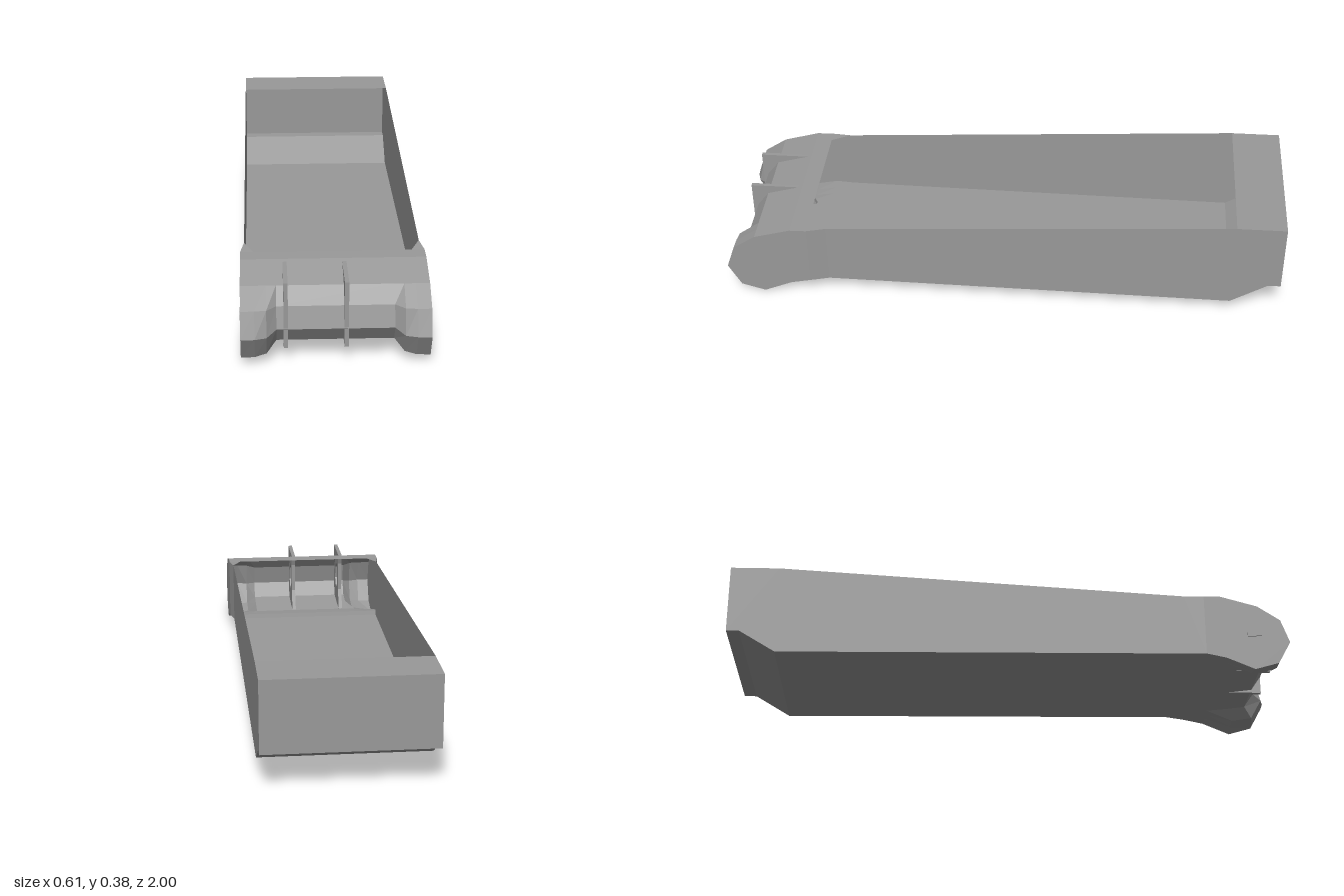
import * as THREE from 'three';

const material = new THREE.MeshStandardMaterial({ color: 0x999999, flatShading: true, side: THREE.DoubleSide });

function addMesh(group, name, geometry) {
  const mesh = new THREE.Mesh(geometry, material);
  mesh.name = name;
  group.add(mesh);
  return mesh;
}

// Skin stretched between neighbouring rows of [x, y, z] points
function loft(rows) {
  const pos = [];
  for (let i = 0; i < rows.length - 1; i++) {
    for (let j = 0; j < rows[i].length - 1; j++) {
      const a = rows[i][j], b = rows[i + 1][j], c = rows[i + 1][j + 1], d = rows[i][j + 1];
      pos.push(...a, ...b, ...c, ...a, ...c, ...d);
    }
  }
  const g = new THREE.BufferGeometry();
  g.setAttribute('position', new THREE.Float32BufferAttribute(pos, 3));
  g.computeVertexNormals();
  return g;
}

// Profiles are [z, y] pairs
const row = (x, profile) => profile.map(([z, y]) => [x, y, z]);
const toShape = (profile) => new THREE.Shape(profile.map(([z, y]) => new THREE.Vector2(-z, y)));

// Flat panel standing in the z-y plane at a given x
function sidePanel(profile, x) {
  return new THREE.ShapeGeometry(toShape(profile)).rotateY(Math.PI / 2).translate(x, 0, 0);
}

export function createModel() {
  const group = new THREE.Group();
  const W = 0.292, H = 0.305;

  // Long open tray: rear cover, rear wall, sloped heel and floor
  const tray = [[-0.825, 0.38], [-1, 0.38], [-1, 0.13], [-0.955, 0.13], [-0.825, 0.05], [0.63, 0.063]];
  addMesh(group, 'tray', loft([row(W, tray), row(-W, tray)]));
  const wall = [...tray.slice(1), [0.63, 0.29], [-0.825, 0.38]];

  // Nose cross-sections from the outer horns to the recessed centre
  const top = [[0.7, 0.285], [0.76, 0.284], [0.89, 0.247]];
  const outer = [...top, [0.97, 0.193], [1, 0.107], [0.955, 0.025], [0.87, 0], [0.77, 0.043], [0.7, 0.058]];
  const horn = [...top, [0.969, 0.193], [0.998, 0.107], [0.954, 0.026], [0.87, 0.011], [0.77, 0.045], [0.7, 0.058]];
  const middle = [...top, [0.965, 0.193], [0.986, 0.107], [0.945, 0.034], [0.87, 0.022], [0.77, 0.047], [0.7, 0.058]];
  const inner = [...top, [0.932, 0.193], [0.951, 0.12], [0.915, 0.067], [0.85, 0.058], [0.77, 0.049], [0.7, 0.058]];
  const half = [[H, outer], [0.26, horn], [0.222, middle], [0.19, inner]];
  addMesh(group, 'nose', loft([
    ...half.map(([x, profile]) => row(x, profile)),
    ...half.map(([x, profile]) => row(-x, profile)).reverse(),
  ]));

  // Floor piece joining tray and nose
  addMesh(group, 'frontFloor', loft([
    [[W, 0.063, 0.63], [H, 0.058, 0.7]],
    [[-W, 0.063, 0.63], [-H, 0.058, 0.7]],
  ]));

  for (const s of [1, -1]) {
    const side = s > 0 ? 'left' : 'right';
    addMesh(group, side + 'Wall', sidePanel(wall, s * W));
    addMesh(group, side + 'NoseSide', sidePanel(outer, s * H));
    addMesh(group, side + 'FlaredPanel', loft([
      [[s * W, 0.29, 0.63], [s * W, 0.063, 0.63]],
      [[s * H, 0.285, 0.7], [s * H, 0.058, 0.7]],
    ]));

    // Triangular corner between wall top and nose top
    const gusset = new THREE.BufferGeometry().setFromPoints([
      new THREE.Vector3(s * W, 0.29, 0.63),
      new THREE.Vector3(s * 0.262, 0.285, 0.7),
      new THREE.Vector3(s * H, 0.285, 0.7),
    ]);
    gusset.computeVertexNormals();
    addMesh(group, side + 'Gusset', gusset);
  }

  // Small two-piece latch on the right side of the nose only
  for (const [name, z, size] of [['latchPlate', 0.865, 0.03], ['latchTab', 0.89, 0.02]]) {
    addMesh(group, name, new THREE.BoxGeometry(0.003, size, size)).position.set(-0.3065, 0.14, z);
  }

  // Upright fins passing through the nose, each with a window
  const fin = toShape([[0.775, 0.28], [0.95, 0.28], [0.95, 0.055], [0.915, 0.055],
    [0.84, 0.055], [0.755, 0.055], [0.79, 0.13], [0.79, 0.24]]);
  fin.holes.push(new THREE.Path([[0.82, 0.16], [0.84, 0.125], [0.88, 0.125], [0.9, 0.15],
    [0.89, 0.2], [0.87, 0.225], [0.82, 0.225]].map(([z, y]) => new THREE.Vector2(-z, y))));
  for (const [i, x] of [-0.16, 0.035].entries()) {
    const g = new THREE.ExtrudeGeometry(fin, { depth: 0.014, bevelEnabled: false });
    g.translate(0, 0, -0.007).rotateY(Math.PI / 2);
    addMesh(group, 'fin' + (i + 1), g).position.x = x;
  }
  return group;
}
